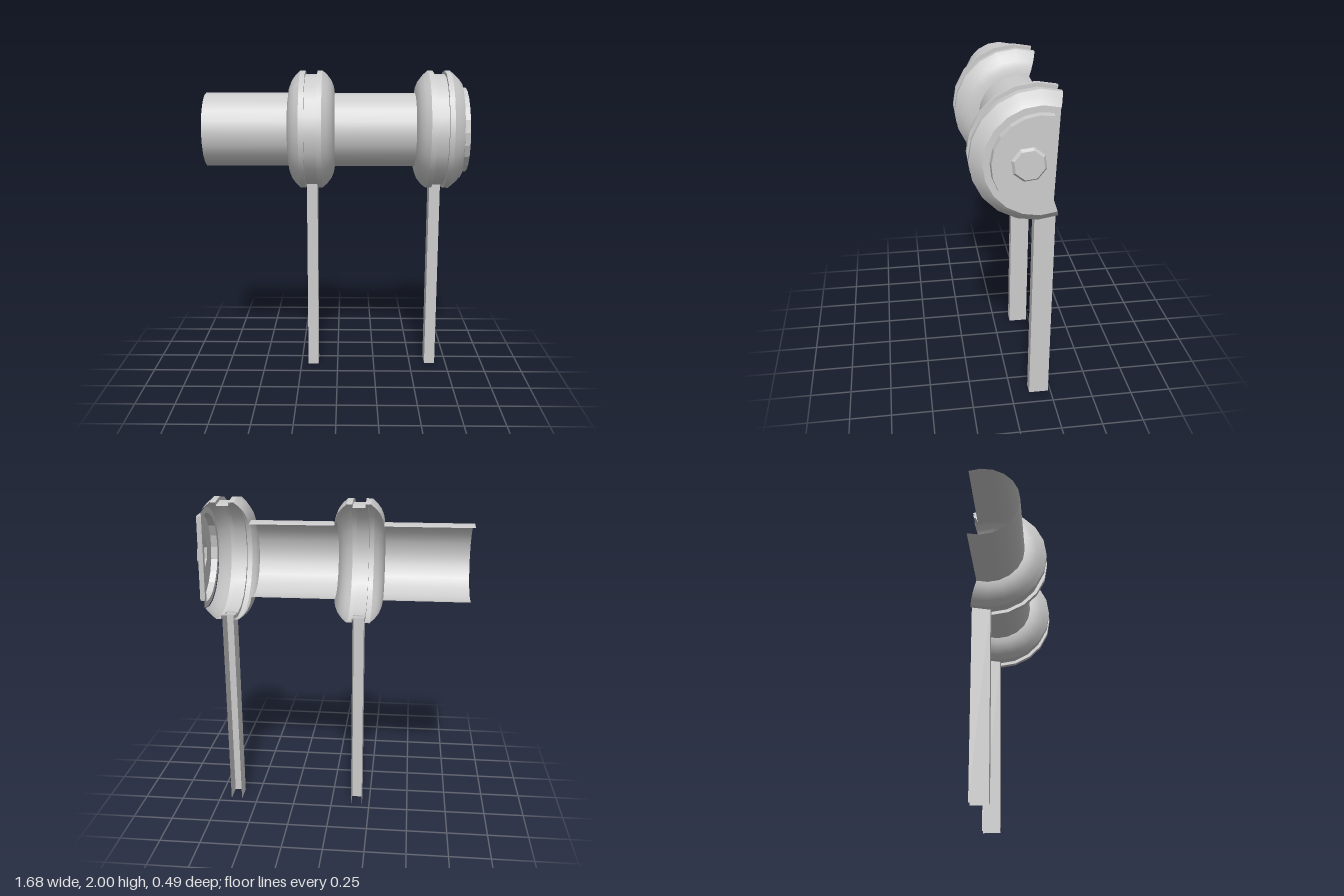
import * as THREE from 'three';

const AXIS_Y = 1.625, AXIS_Z = -0.125;   // pipe axis, running along x
const SWEEP = THREE.MathUtils.degToRad(217), SEGMENTS = 12;
const material = new THREE.MeshStandardMaterial({ color: 0xcccccc, side: THREE.DoubleSide });
const flatMaterial = new THREE.MeshStandardMaterial({ color: 0xcccccc, side: THREE.DoubleSide, flatShading: true });

function addMesh(parent, name, geometry, mat = material) {
  const mesh = new THREE.Mesh(geometry, mat);
  mesh.name = name;
  parent.add(mesh);
  return mesh;
}

// Partial turn around the pipe axis, open at the back; profile is [x, radius]
function sweep(parent, name, profile) {
  const points = profile.map(([x, r]) => new THREE.Vector2(r, x));
  const geometry = new THREE.LatheGeometry(points, SEGMENTS, -SWEEP / 2, SWEEP);
  geometry.rotateZ(-Math.PI / 2);
  geometry.translate(0, AXIS_Y, AXIS_Z);
  addMesh(parent, name, geometry);
}

// Bulging collar with a shallow groove around its middle
function collar(name, mid, outerFlank, isEnd) {
  const group = new THREE.Group();
  group.name = name;
  const flank = [[-0.147, 0.235], [-0.141, 0.275], [-0.125, 0.315], [-0.1, 0.348], [-0.07, 0.375]];
  const lip = [[-0.07, 0.375], [-0.038, 0.375]];
  const place = (profile, side) => profile.map(([x, r]) => [mid + side * x, r]);
  sweep(group, 'innerFlank', place(flank, 1));
  sweep(group, 'outerFlank', place(isEnd ? outerFlank : flank, -1));
  for (const side of [1, -1]) {
    sweep(group, 'lip', place(lip, side));
    sweep(group, 'grooveWall', place([[-0.038, 0.375], [-0.038, 0.353]], side));
  }
  sweep(group, 'groove', place([[-0.038, 0.353], [0.038, 0.353]], 1));
  return group;
}

// Outlines are lists of [z, y] measured from the pipe axis
function arcOutline(radius, from, to) {
  return Array.from({ length: SEGMENTS + 1 }, (_, i) => {
    const a = from + (to - from) * i / SEGMENTS;
    return [radius * Math.cos(a), radius * Math.sin(a)];
  });
}

function octagon(radius) {
  return Array.from({ length: 8 }, (_, i) => {
    const a = (i + 0.35) * Math.PI / 4;
    return [0.07 + radius * Math.cos(a), 0.005 + radius * Math.sin(a)];
  });
}

// Flat plate across the axis, with an optional hole
function plate(parent, name, x, outline, hole) {
  const toPoints = (o) => o.map(([z, y]) => new THREE.Vector2(-z, y));
  const shape = new THREE.Shape(toPoints(outline));
  if (hole) shape.holes.push(new THREE.Path(toPoints(hole)));
  const geometry = new THREE.ShapeGeometry(shape);
  geometry.rotateY(Math.PI / 2);
  geometry.translate(x, 0, 0);
  addMesh(parent, name, geometry, flatMaterial);
}

// Band joining two outlines of equal length
function wall(parent, name, xA, a, xB, b) {
  const positions = [];
  a.forEach((p, i) => {
    const j = (i + 1) % a.length;
    const A = [xA, p[1], p[0]], B = [xA, a[j][1], a[j][0]];
    const C = [xB, b[j][1], b[j][0]], D = [xB, b[i][1], b[i][0]];
    positions.push(...A, ...C, ...B, ...A, ...D, ...C);
  });
  const geometry = new THREE.BufferGeometry();
  geometry.setAttribute('position', new THREE.Float32BufferAttribute(positions, 3));
  geometry.computeVertexNormals();
  addMesh(parent, name, geometry, flatMaterial);
}

// End plate, raised cover and eight-sided bolt, very slightly tilted
function endCap() {
  const group = new THREE.Group();
  group.name = 'endCap';
  const disc = arcOutline(0.31, -SWEEP / 2, SWEEP / 2);
  disc.unshift([-0.075, -0.223]);
  const coverBase = arcOutline(0.272, -1.72, 1.8);
  const coverTop = arcOutline(0.268, -1.72, 1.8);
  const boltBase = octagon(0.098), boltTop = octagon(0.084);
  plate(group, 'endDisc', 0, disc, coverBase);
  wall(group, 'coverRim', 0, coverBase, 0.04, coverTop);
  plate(group, 'coverFace', 0.04, coverTop, boltBase);
  wall(group, 'boltSides', 0.04, boltBase, 0.058, boltTop);
  plate(group, 'boltFace', 0.058, boltTop);
  group.position.set(0.777, AXIS_Y, AXIS_Z);
  group.rotation.z = 0.02;
  return group;
}

// Channel-shaped post, open at the back and at both ends
function post(name, x, bottom) {
  const group = new THREE.Group();
  group.name = name;
  const width = 0.07, depth = 0.12, height = 1.28 - bottom;
  addMesh(group, 'postFront', new THREE.PlaneGeometry(width, height)).position.z = depth / 2;
  for (const side of [1, -1]) {
    const mesh = addMesh(group, 'postSide', new THREE.PlaneGeometry(depth, height));
    mesh.rotation.y = side * Math.PI / 2;
    mesh.position.x = side * width / 2;
  }
  group.position.set(x, bottom + height / 2, -0.175);
  group.rotation.x = -0.005;
  return group;
}

export function createModel() {
  const model = new THREE.Group();
  model.name = 'pipeOnPosts';

  // Straight pipe lengths between the collars
  sweep(model, 'pipeEnd', [[-0.84, 0.235], [-0.312, 0.235]]);
  sweep(model, 'pipeMiddle', [[-0.018, 0.235], [0.491, 0.235]]);

  const endFlank = [[-0.139, 0.31], [-0.125, 0.327], [-0.1, 0.35], [-0.07, 0.375]];
  model.add(collar('middleCollar', -0.165, null, false));
  model.add(collar('endCollar', 0.638, endFlank, true));
  model.add(endCap());
  model.add(post('middlePost', -0.167, 0));
  model.add(post('endPost', 0.635, 0.01));
  return model;
}
